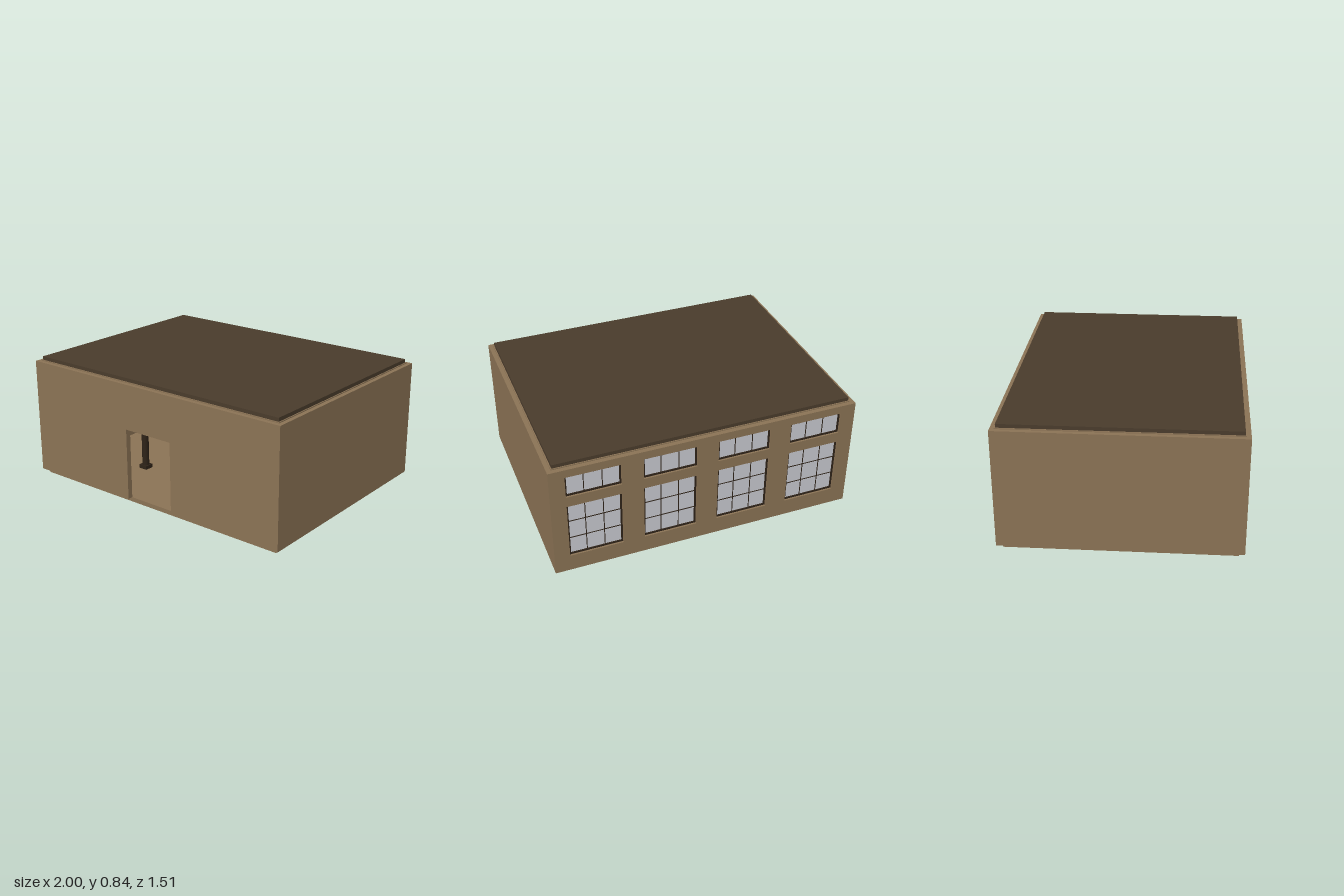
import * as THREE from 'three';

const material = (name, color, extra = {}) => {
  const m = new THREE.MeshStandardMaterial({ color, ...extra });
  m.name = name;
  return m;
};

export function createModel() {
  const tan = material('tan wall', 0x8b7355);
  const roofBrown = material('roof brown', 0x4a3c2c);
  const dark = material('dark frame', 0x2e2318);
  const glass = material('pale glass', 0xc8c9d0);
  const cream = material('cream panel', 0xc6beac);

  const model = new THREE.Group();
  model.name = 'hall';

  // Box given by its minimum and maximum corners
  function box(name, mat, x0, x1, y0, y1, z0, z1, parent = model) {
    const mesh = new THREE.Mesh(new THREE.BoxGeometry(x1 - x0, y1 - y0, z1 - z0), mat);
    mesh.position.set((x0 + x1) / 2, (y0 + y1) / 2, (z0 + z1) / 2);
    mesh.name = name;
    parent.add(mesh);
    return mesh;
  }

  // Rectangular frame of four bars
  function frame(name, mat, x0, x1, y0, y1, z0, z1, t, parent) {
    box(name, mat, x0, x0 + t, y0, y1, z0, z1, parent);
    box(name, mat, x1 - t, x1, y0, y1, z0, z1, parent);
    box(name, mat, x0 + t, x1 - t, y0, y0 + t, z0, z1, parent);
    box(name, mat, x0 + t, x1 - t, y1 - t, y1, z0, z1, parent);
  }

  const W = 1, D = 0.757, T = 0.035, base = 0.03, top = 0.81;

  // Floor and roof slabs, set in from the wall faces
  box('floor', tan, -W + T, W - T, 0, base, -D + T, D - T);
  box('roofTrim', tan, -0.972, 0.972, top - 0.01, top + 0.006, -D + 0.028, D - 0.028);
  box('roof', roofBrown, -W + T, W - T, top, 0.84, -D + T, D - T);

  // Side walls
  box('rightWall', tan, -W, -W + T, base, top, -D, D);
  box('leftWall', tan, W - T, W, base, top, -D, D);

  // Front wall around the doorway
  const door = 0.182, doorTop = 0.51;
  box('frontWall', tan, -W + T, -door, base, top, D - T, D);
  box('frontWall', tan, door, W - T, base, top, D - T, D);
  box('doorLintel', tan, -door, door, doorTop, top, D - T, D);

  // Back wall with two rows of window openings
  const centres = [-0.728, -0.243, 0.243, 0.728];
  const rows = [{ y0: 0.145, y1: 0.535, bars: 2 }, { y0: 0.607, y1: 0.755, bars: 0 }];
  const half = 0.173;
  const wall = new THREE.Shape();
  wall.moveTo(-W + T, base).lineTo(W - T, base).lineTo(W - T, top).lineTo(-W + T, top).closePath();
  for (const c of centres) {
    for (const { y0, y1 } of rows) {
      const hole = new THREE.Path();
      hole.moveTo(c - half, y0).lineTo(c - half, y1).lineTo(c + half, y1).lineTo(c + half, y0).closePath();
      wall.holes.push(hole);
    }
  }
  const backWall = new THREE.Mesh(
    new THREE.ExtrudeGeometry(wall, { depth: T, bevelEnabled: false }), tan);
  backWall.position.z = -D;
  backWall.name = 'backWall';
  model.add(backWall);

  // Windows: frame, pane and glazing bars
  for (const c of centres) {
    for (const { y0, y1, bars } of rows) {
      const win = new THREE.Group();
      win.name = 'window';
      model.add(win);
      const x0 = c - half, x1 = c + half, z = -D + 0.022;
      frame('windowFrame', dark, x0, x1, y0, y1, z - 0.01, z + 0.013, 0.01, win);
      box('pane', glass, x0 + 0.01, x1 - 0.01, y0 + 0.01, y1 - 0.01, z - 0.002, z + 0.002, win);
      for (let i = 1; i <= 2; i++) {
        const x = x0 + (x1 - x0) * i / 3;
        box('uprightBar', dark, x - 0.0025, x + 0.0025, y0 + 0.01, y1 - 0.01, z - 0.005, z + 0.005, win);
      }
      for (let i = 1; i <= bars; i++) {
        const y = y0 + (y1 - y0) * i / (bars + 1);
        box('crossBar', dark, x0 + 0.01, x1 - 0.01, y - 0.0025, y + 0.0025, z - 0.005, z + 0.005, win);
      }
    }
  }

  // Free-standing interior partitions with framed panes
  for (const [x0, x1, p0, p1] of [[-0.235, 0.08, -0.163, 0.012], [0.115, 0.43, 0.185, 0.36]]) {
    const screen = new THREE.Group();
    screen.name = 'partition';
    model.add(screen);
    box('partitionPanel', cream, x0, x1, base, 0.485, -0.22, -0.19, screen);
    frame('partitionFrame', dark, p0, p1, 0.157, 0.415, -0.225, -0.18, 0.01, screen);
    box('partitionPane', glass, p0 + 0.01, p1 - 0.01, 0.167, 0.405, -0.224, -0.186, screen);
  }

  // Interior columns on square footings
  for (const side of [-1, 1]) {
    const column = new THREE.Group();
    column.name = 'column';
    column.position.set(side * 0.45, 0, 0.3);
    model.add(column);
    const shaft = new THREE.Mesh(new THREE.CylinderGeometry(0.024, 0.024, top - base, 16), dark);
    shaft.position.y = (top + base) / 2;
    shaft.name = 'columnShaft';
    column.add(shaft);
    box('columnFooting', dark, -0.032, 0.032, base, base + 0.025, -0.032, 0.032, column);
  }

  return model;
}
